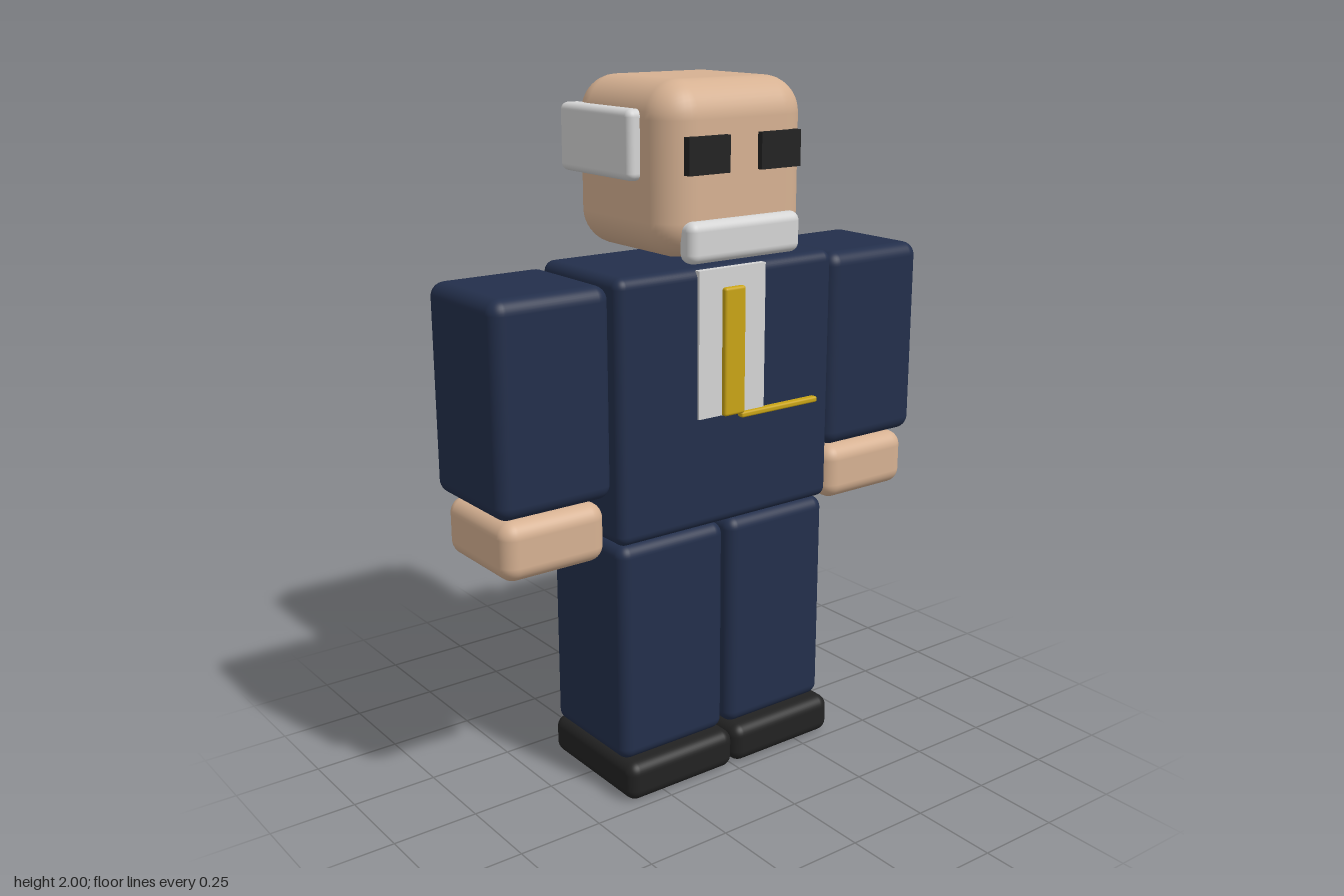
import * as THREE from 'three';
import { RoundedBoxGeometry } from 'three/addons/geometries/RoundedBoxGeometry.js';

const material = (name, color) => Object.assign(new THREE.MeshStandardMaterial({ color }), { name });

export function createModel() {
  const model = new THREE.Group();
  model.name = 'blockFigure';
  const skin = material('skin', 0xd6b192);
  const navy = material('navy suit', 0x232f4b);
  const black = material('black', 0x222222);
  const white = material('pale grey', 0xd4d4d4);
  const gold = material('gold', 0xc9a416);

  // Rounded box from its [min, max] range on each axis
  function block(name, mat, x, y, z, radius) {
    const size = [x, y, z].map(([a, b]) => b - a);
    const mesh = new THREE.Mesh(
      radius ? new RoundedBoxGeometry(...size, 5, radius) : new THREE.BoxGeometry(...size), mat);
    mesh.position.set(...[x, y, z].map(([a, b]) => (a + b) / 2));
    mesh.name = name;
    model.add(mesh);
  }
  // The same block on the left and the right
  function pair(name, mat, [a, b], y, z, radius) {
    block('left' + name, mat, [a, b], y, z, radius);
    block('right' + name, mat, [-b, -a], y, z, radius);
  }

  // Head, hair and face
  block('head', skin, [-0.245, 0.245], [1.535, 2], [-0.23, 0.235], 0.1);
  pair('SideHair', white, [0.21, 0.28], [1.74, 1.925], [-0.222, 0.115], 0.02);
  block('backHair', white, [-0.227, 0.227], [1.747, 1.917], [-0.265, -0.195], 0.02);
  pair('Eye', black, [0.053, 0.188], [1.762, 1.86], [0.23, 0.252]);
  block('moustache', white, [-0.19, 0.19], [1.53, 1.642], [0.2, 0.263], 0.026);

  // Jacket, shirt front, tie and watch chain
  block('torso', navy, [-0.375, 0.375], [0.763, 1.505], [-0.182, 0.192], 0.03);
  block('shirtFront', white, [-0.115, 0.115], [1.087, 1.5], [0.18, 0.2]);
  block('tie', gold, [-0.036, 0.036], [1.085, 1.447], [0.194, 0.216], 0.008);
  block('watchChain', gold, [0.028, 0.308], [1.07, 1.087], [0.188, 0.212], 0.006);

  // Limbs
  pair('Arm', navy, [0.38, 0.735], [0.907, 1.49], [-0.174, 0.178], 0.04);
  pair('Hand', skin, [0.397, 0.718], [0.73, 0.897], [-0.157, 0.168], 0.045);
  pair('Leg', navy, [0.007, 0.37], [0.11, 0.76], [-0.172, 0.186], 0.035);
  pair('Shoe', black, [0.001, 0.375], [0, 0.117], [-0.182, 0.23], 0.035);

  return model;
}
